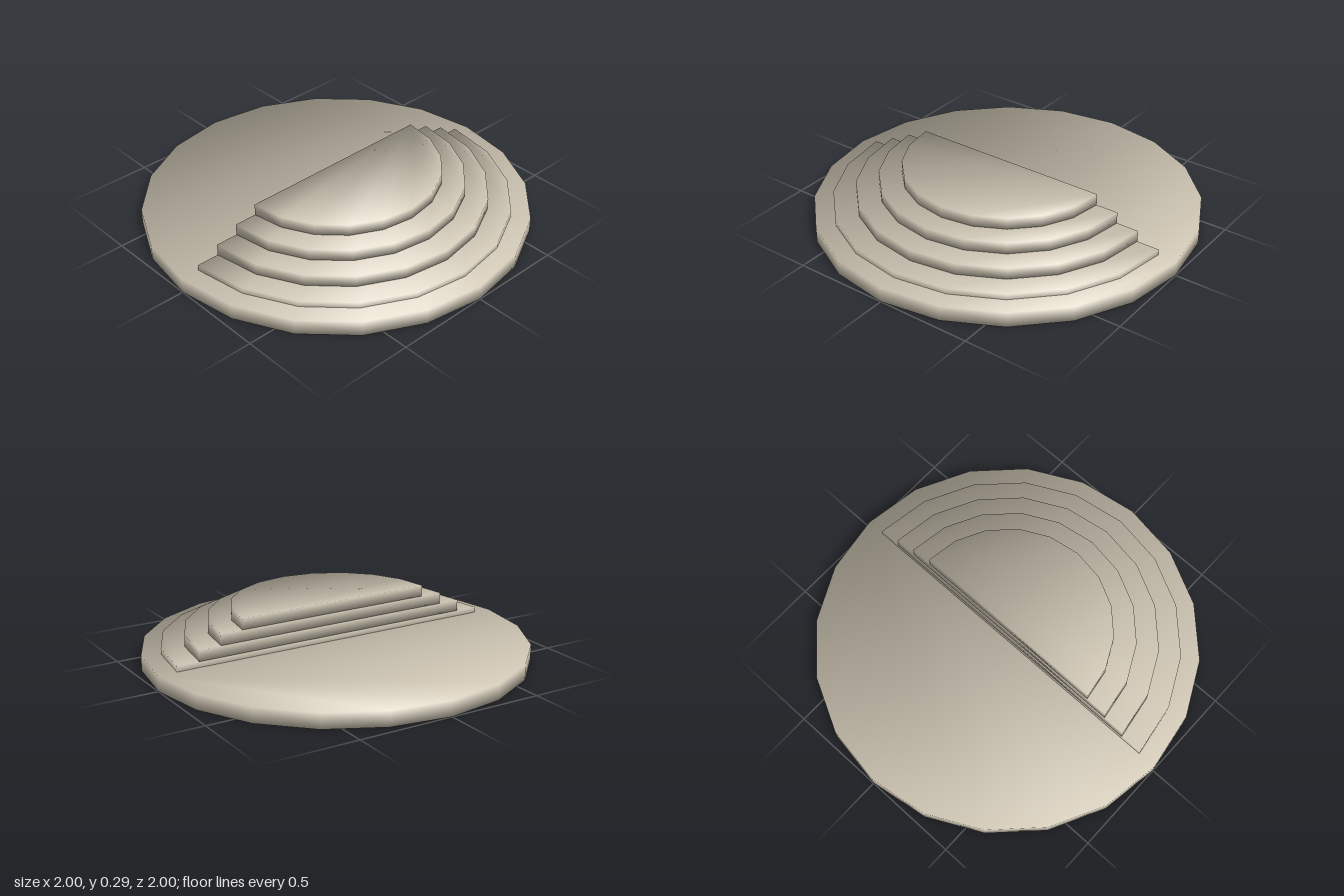
import * as THREE from 'three';

const SEGMENTS = 20; // sides of a full circle

// Points (x, z) along a circular arc; a full turn leaves out the repeated end point
function arc(radius, steps, closed) {
  const points = [];
  for (let i = 0; i < steps + (closed ? 0 : 1); i++) {
    const a = (i / SEGMENTS) * Math.PI * 2;
    points.push(new THREE.Vector2(Math.cos(a) * radius, Math.sin(a) * radius));
  }
  return points;
}

// Convex prism with soft normals: each corner blends its cap and two walls by angle
function softPrism(points, bottom, top) {
  const n = points.length;
  const position = [], normal = [], index = [];
  const wallNormal = (a, b) => new THREE.Vector2(b.y - a.y, a.x - b.x).normalize();

  points.forEach((p, i) => {
    const before = wallNormal(points[(i + n - 1) % n], p);
    const after = wallNormal(p, points[(i + 1) % n]);
    const capAngle = Math.PI - Math.acos(THREE.MathUtils.clamp(before.dot(after), -1, 1));
    const out = before.add(after).multiplyScalar(Math.PI / 2);
    for (const [y, up] of [[bottom, -capAngle], [top, capAngle]]) {
      position.push(p.x, y, p.y);
      normal.push(...new THREE.Vector3(out.x, up, out.y).normalize().toArray());
    }
  });

  for (let i = 0; i < n; i++) {
    const j = (i + 1) % n;
    const b = 2 * i, t = b + 1, bj = 2 * j, tj = bj + 1;
    index.push(b, t, tj, b, tj, bj); // wall
    if (i > 0 && j > 0) index.push(1, tj, t, 0, b, bj); // cap fans
  }

  const geometry = new THREE.BufferGeometry();
  geometry.setAttribute('position', new THREE.Float32BufferAttribute(position, 3));
  geometry.setAttribute('normal', new THREE.Float32BufferAttribute(normal, 3));
  geometry.setIndex(index);
  return geometry;
}

export function createModel() {
  const model = new THREE.Group();
  model.name = 'steppedPlatform';
  const stone = new THREE.MeshStandardMaterial({ color: 0xd0c7b5 });
  stone.name = 'paleStone';

  const add = (name, geometry) => {
    const mesh = new THREE.Mesh(geometry, stone);
    mesh.name = name;
    model.add(mesh);
  };

  // Round base
  add('base', softPrism(arc(1, SEGMENTS, true), 0, 0.08));

  // Four half-round steps on the front half
  for (let i = 0; i < 4; i++) {
    const top = 0.11 + i * 0.06;
    add(`step${i + 1}`, softPrism(arc(0.9 - i * 0.12, SEGMENTS / 2, false), top - 0.06, top));
  }
  return model;
}
